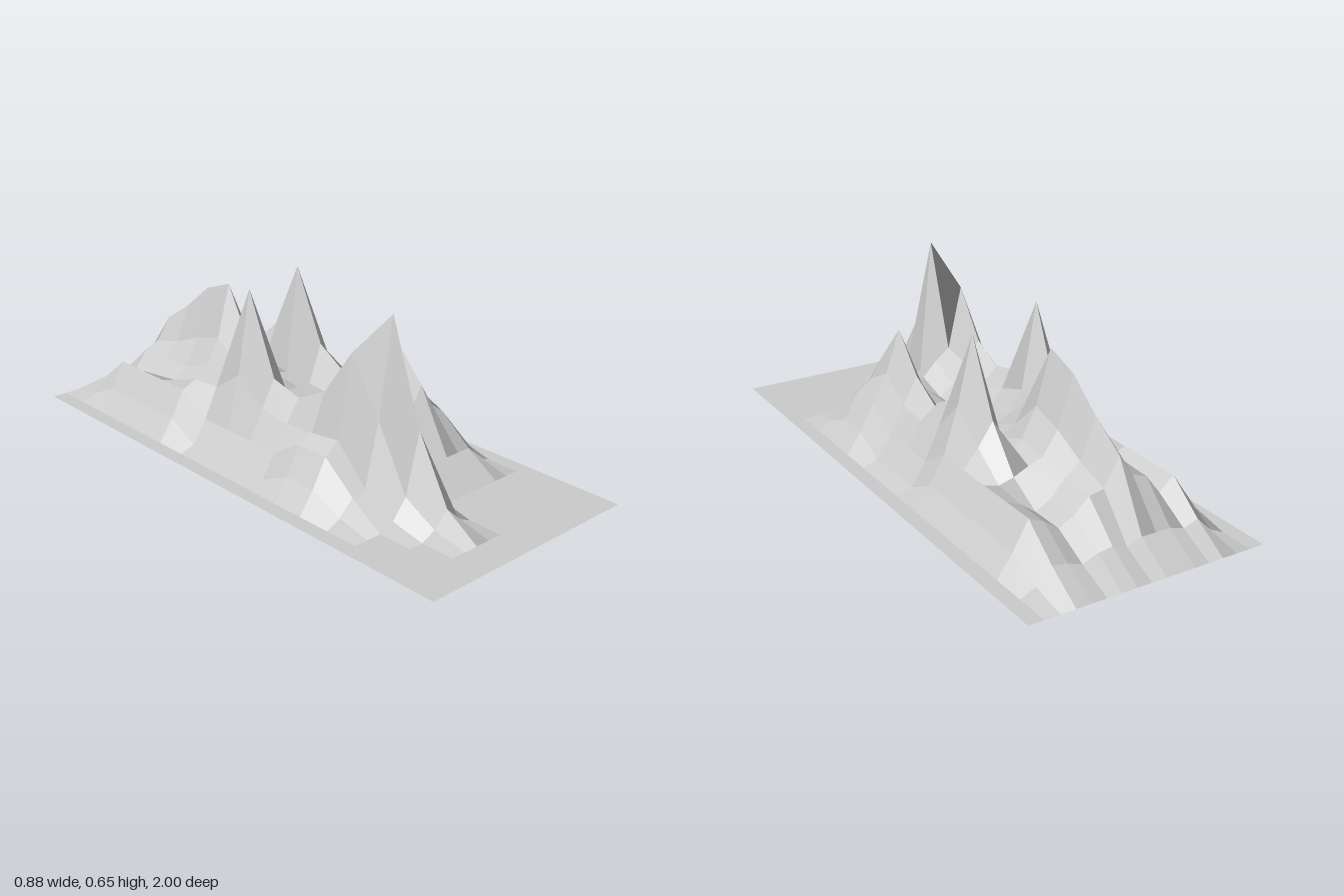
import * as THREE from 'three';

const N = 16, DX = 0.875 / N, DZ = 2 / N;

// Height profiles running back to front, one per grid column, starting at row 1
const ridges = {
  4: [0.06, 0.13, 0.13, 0.16, 0.2, 0.21, 0.29, 0.21, 0.19, 0.2, 0.215, 0.09, 0.025],
  5: [0.078, 0.2, 0.2, 0.2, 0.24, 0.3, 0.59, 0.3, 0.27, 0.33, 0.5, 0.31, 0.09, 0.025],
  6: [0.078, 0.22, 0.25, 0.3, 0.33, 0.25, 0.28, 0.24, 0.22, 0.25, 0.27, 0.65, 0.3, 0.078],
  7: [0.078, 0.3, 0.38, 0.48, 0.525, 0.3, 0.19, 0.175, 0.175, 0.18, 0.23, 0.145, 0.078, 0.025],
  8: [0.06, 0.2, 0.24, 0.3, 0.335, 0.22, 0.175, 0.175, 0.14, 0.14, 0.175],
  9: [0.078, 0.19, 0.2, 0.22, 0.23, 0.19, 0.17, 0.17, 0.18, 0.18, 0.175],
  10: [0.07, 0.14, 0.14, 0.2, 0.18, 0.18, 0.17, 0.16, 0.18, 0.22, 0.215],
  11: [0.05, 0.11, 0.11, 0.175, 0.32, 0.575, 0.31, 0.235, 0.3, 0.435, 0.3],
  12: [0.07, 0.15, 0.15, 0.16, 0.24, 0.34, 0.22, 0.19, 0.2, 0.28, 0.215],
};

// Foothill slope: height by number of cells in from the foot of the range
function slope(d) {
  if (d <= 0) return 0;
  return d < 1 ? 0.078 * d : Math.min(0.175, 0.078 + 0.097 * (d - 1));
}

function height(i, j) {
  const h = ridges[i]?.[j - 1];
  if (h !== undefined) return h;
  // The foot steps inward halfway along each side
  const leftInset = i < 8 && j >= 6 && j <= 9 ? 0.75 : 0;
  const rightInset = i > 8 && j >= 7 && j <= 9 ? 0.75 : 0;
  const dx = Math.min(i - 1 - leftInset, 15 - i - rightInset);
  const dz = Math.min(j, 13 - j);
  return dx === 1 && dz === 1 ? 0.025 : slope(Math.min(dx, dz));
}

function terrainGeometry() {
  const positions = [], index = [];
  // Every cell has its own four corners, so it shades as one facet
  for (let j = 0; j < N; j++) {
    for (let i = 0; i < N; i++) {
      const a = positions.length / 3;
      const corners = [[i, j], [i, j + 1], [i + 1, j + 1], [i + 1, j]];
      const h = corners.map(([u, v]) => height(u, v));
      corners.forEach(([u, v], k) => positions.push((u - N / 2) * DX, h[k], (v - N / 2) * DZ));
      // Split along the higher diagonal, which keeps the ridges convex
      if (h[0] + h[2] > h[1] + h[3]) index.push(a, a + 1, a + 2, a, a + 2, a + 3);
      else index.push(a, a + 1, a + 3, a + 1, a + 2, a + 3);
    }
  }
  const geometry = new THREE.BufferGeometry();
  geometry.setAttribute('position', new THREE.Float32BufferAttribute(positions, 3));
  geometry.setIndex(index);
  geometry.computeVertexNormals();
  // Average the corner normals of each cell
  const normal = geometry.attributes.normal;
  const sum = new THREE.Vector3(), n = new THREE.Vector3();
  for (let a = 0; a < normal.count; a += 4) {
    sum.set(0, 0, 0);
    for (let k = 0; k < 4; k++) sum.add(n.fromBufferAttribute(normal, a + k));
    sum.normalize();
    for (let k = 0; k < 4; k++) normal.setXYZ(a + k, sum.x, sum.y, sum.z);
  }
  return geometry;
}

export function createModel() {
  const group = new THREE.Group();
  group.name = 'mountainRange';
  const material = new THREE.MeshStandardMaterial({ color: 0xcccccc, side: THREE.DoubleSide });
  const terrain = new THREE.Mesh(terrainGeometry(), material);
  terrain.name = 'terrain';
  group.add(terrain);
  return group;
}
